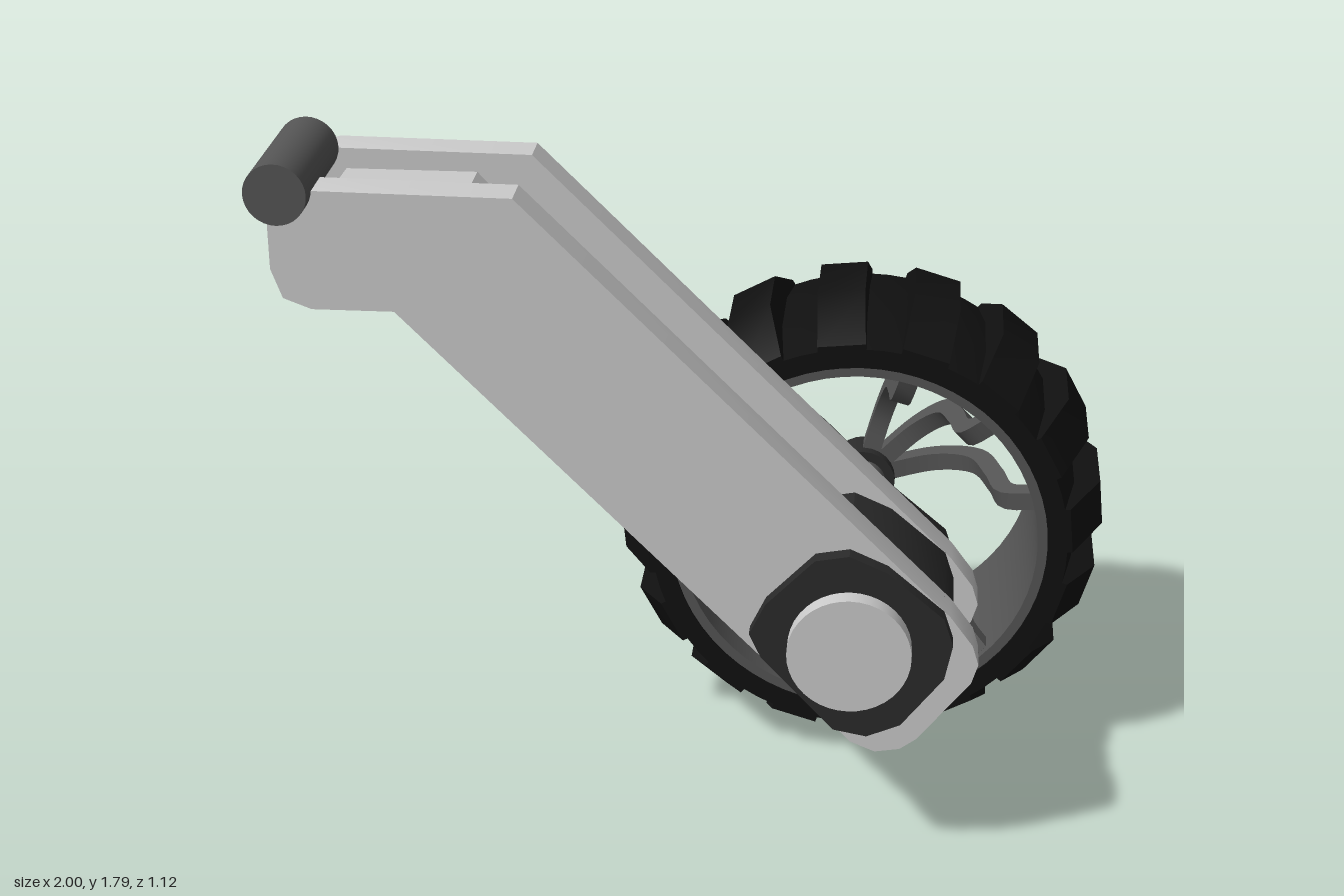
import * as THREE from 'three';
import { toCreasedNormals } from 'three/addons/utils/BufferGeometryUtils.js';

const AXLE = [0.375, 0.625];
const mat = (color) => new THREE.MeshStandardMaterial({ color, side: THREE.DoubleSide });
const light = mat(0xcccccc), steel = mat(0x555555), bushingMat = mat(0x2a2a2a), rubber = mat(0x101010);

function part(parent, name, geometry, material) {
  const mesh = new THREE.Mesh(toCreasedNormals(geometry, 0.6), material);
  mesh.name = name;
  parent.add(mesh);
  return mesh;
}

// Flat outline in x/y, extruded from z0 to z1
function slab(points, z0, z1) {
  const shape = new THREE.Shape(points.map(([x, y]) => new THREE.Vector2(x, y)));
  return new THREE.ExtrudeGeometry(shape, { depth: z1 - z0, bevelEnabled: false }).translate(0, 0, z0);
}

// Closed (radius, z) profile turned around the z axis
function turned(profile, segments = 64) {
  const pts = [...profile, profile[0]].map(([r, z]) => new THREE.Vector2(r, z));
  return new THREE.LatheGeometry(pts, segments).rotateX(Math.PI / 2);
}

function rodZ(r, z0, z1, segments = 32) {
  return new THREE.CylinderGeometry(r, r, z1 - z0, segments).rotateX(Math.PI / 2).translate(0, 0, (z0 + z1) / 2);
}

function createWheel() {
  const wheel = new THREE.Group();
  wheel.name = 'wheel';
  wheel.position.set(...AXLE, 0);

  part(wheel, 'tyre', turned([
    [0.48, -0.56], [0.53, -0.56], [0.558, -0.4], [0.558, -0.2], [0.53, -0.04], [0.48, -0.04],
  ]), rubber);
  part(wheel, 'rim', turned([
    [0.455, -0.555], [0.485, -0.555], [0.485, -0.045], [0.455, -0.045],
  ]), steel);

  // Sixteen tread lugs: a (radius, z) section given a tangential thickness
  const lug = slab([[0.49, 0.04], [0.54, 0.04], [0.621, 0.2], [0.621, 0.4], [0.54, 0.56], [0.49, 0.56]], -0.06, 0.06)
    .rotateX(-Math.PI / 2);
  for (let i = 0; i < 16; i++) {
    part(wheel, 'treadLug', lug, rubber).rotation.z = THREE.MathUtils.degToRad(5.6 + i * 22.5);
  }

  // Curved spokes in three groups of three, from the rear hub to the front of the rim
  const path = new THREE.CatmullRomCurve3([
    [0.04, -0.45], [0.2, -0.45], [0.31, -0.38], [0.36, -0.24], [0.39, -0.13], [0.465, -0.09],
  ].map(([r, z]) => new THREE.Vector3(r, 0, z)));
  const section = new THREE.Shape([[-0.024, -0.024], [0.024, -0.024], [0.024, 0.024], [-0.024, 0.024]]
    .map(([x, y]) => new THREE.Vector2(x, y)));
  const spoke = new THREE.ExtrudeGeometry(section, { steps: 24, extrudePath: path, bevelEnabled: false });
  for (let g = 0; g < 3; g++) {
    for (const a of [15, 45, 75]) {
      part(wheel, 'spoke', spoke, steel).rotation.z = THREE.MathUtils.degToRad(a + g * 120);
    }
  }

  part(wheel, 'hubShaft', rodZ(0.06, -0.48, 0), steel);
  part(wheel, 'hubRing', turned([[0.04, -0.5], [0.085, -0.5], [0.085, -0.4], [0.04, -0.4]], 24), bushingMat);
  return wheel;
}

export function createModel() {
  const model = new THREE.Group();
  model.name = 'wheelArm';
  model.add(createWheel());

  // Two matching bent side plates
  const outline = [
    [-0.96, 1.65], [-0.935, 1.69], [-0.87, 1.71], [-0.4, 1.705], [0.61, 0.695], [0.665, 0.62], [0.68, 0.57],
    [0.665, 0.52], [0.54, 0.36], [0.5, 0.33], [0.44, 0.32], [0.38, 0.345], [0.3, 0.43],
    [-0.68, 1.425], [-0.87, 1.425], [-0.935, 1.45], [-0.96, 1.52],
  ];
  part(model, 'rearPlate', slab(outline, 0.08, 0.17), light);
  part(model, 'frontPlate', slab(outline, 0.38, 0.475), light);

  // Rounded diamond bushing through both plates, with the axle through it
  part(model, 'bushing', slab([
    [0.37, 0.865], [0.46, 0.825], [0.595, 0.71], [0.618, 0.64], [0.6, 0.55], [0.5, 0.42], [0.42, 0.385],
    [0.34, 0.4], [0.165, 0.59], [0.137, 0.65], [0.175, 0.73], [0.29, 0.85],
  ], 0.04, 0.515), bushingMat);
  part(model, 'axle', rodZ(0.147, -0.06, 0.56, 40), light).position.set(...AXLE, 0);

  // Spacer block and cross pin at the upper end
  part(model, 'spacerBlock', slab([
    [-0.87, 1.62], [-0.84, 1.66], [-0.53, 1.66], [-0.475, 1.6], [-0.475, 1.5], [-0.53, 1.45], [-0.84, 1.45], [-0.87, 1.49],
  ], 0.17, 0.385), light);
  part(model, 'crossPin', rodZ(0.072, 0.18, 0.525), steel).position.set(-0.926, 1.715, 0);

  // Damper lying between the plates along the sloping arm
  const damper = new THREE.Group();
  damper.name = 'damper';
  damper.position.set(-0.41, 1.435, 0.28);
  damper.rotation.z = Math.PI / 4;
  const boot = [[0, -0.14], [0.06, -0.14], [0.093, -0.1], [0.093, 0.1], [0.065, 0.14], [0, 0.14]];
  part(damper, 'damperBoot', new THREE.LatheGeometry(boot.map(([r, y]) => new THREE.Vector2(r, y)), 20), rubber);
  part(damper, 'damperRod', new THREE.CylinderGeometry(0.063, 0.063, 0.85, 24).translate(0, -0.48, 0), steel);
  model.add(damper);

  return model;
}
